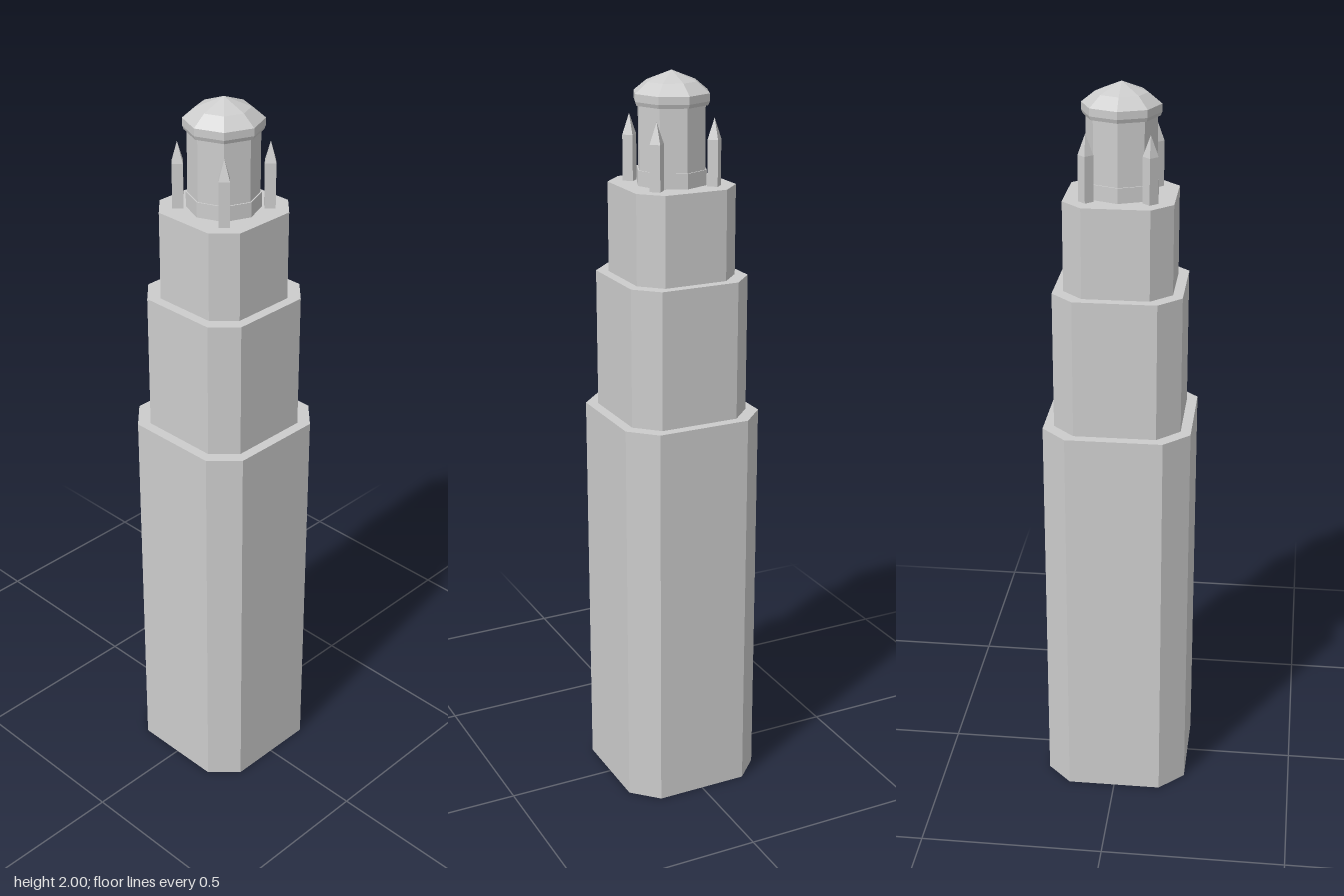
import * as THREE from 'three';

const stone = new THREE.MeshStandardMaterial({ color: 0xcccccc, side: THREE.DoubleSide });
stone.name = 'pale stone';

// Square with cut corners, counter-clockwise seen from above
function ring(half, flat, y) {
  return [[half, flat], [half, -flat], [flat, -half], [-flat, -half],
    [-half, -flat], [-half, flat], [-flat, half], [flat, half]].map(([x, z]) => [x, y, z]);
}

// Flat-sided skin through a stack of rings, bottom to top
function loft(rings) {
  const pos = [];
  for (let k = 0; k < rings.length - 1; k++) {
    const a = rings[k], b = rings[k + 1], n = a.length;
    for (let i = 0; i < n; i++) {
      const j = (i + 1) % n;
      pos.push(...a[i], ...a[j], ...b[j], ...a[i], ...b[j], ...b[i]);
    }
  }
  const geo = new THREE.BufferGeometry();
  geo.setAttribute('position', new THREE.Float32BufferAttribute(pos, 3));
  geo.computeVertexNormals();
  return geo;
}

// Faceted turned form from [radius, y] points
function facetedLathe(points, sides) {
  const geo = new THREE.LatheGeometry(points.map(p => new THREE.Vector2(...p)), sides).toNonIndexed();
  geo.computeVertexNormals();
  return geo;
}

export function createModel() {
  const tower = new THREE.Group();
  tower.name = 'tower';
  const add = (name, geo) => {
    const mesh = new THREE.Mesh(geo, stone);
    mesh.name = name;
    tower.add(mesh);
    return mesh;
  };

  // Stepped shaft, open underneath: half width, half flat side, bottom, top
  const tiers = [
    ['lowerTier', 0.198, 0.13, 0, 1.095],
    ['middleTier', 0.17, 0.11, 1.095, 1.47],
    ['upperTier', 0.143, 0.088, 1.47, 1.71],
  ];
  tiers.forEach(([name, half, flat, y0, y1], i) => {
    const [, nextHalf, nextFlat] = tiers[i + 1] || ['', 0, 0];
    add(name, loft([ring(half, flat, y0), ring(half, flat, y1), ring(nextHalf, nextFlat, y1)]));
  });

  // Octagonal lantern with a low plinth
  add('lanternPlinth', facetedLathe([[0.096, 1.71], [0.096, 1.75], [0.09, 1.75]], 8));
  add('lantern', facetedLathe([[0.092, 1.75], [0.092, 1.92]], 8));

  // Roof with a shallow eave band
  add('roof', facetedLathe([[0.09, 1.915], [0.099, 1.915], [0.103, 1.925],
    [0.103, 1.945], [0.068, 1.973], [0, 2]], 8));

  // Four corner pinnacles
  const pinnacle = facetedLathe([[0.02, 1.71], [0.02, 1.83], [0, 1.885]], 4);
  for (const x of [-1, 1]) for (const z of [-1, 1]) {
    add('pinnacle', pinnacle).position.set(x * 0.082, 0, z * 0.082);
  }
  return tower;
}
